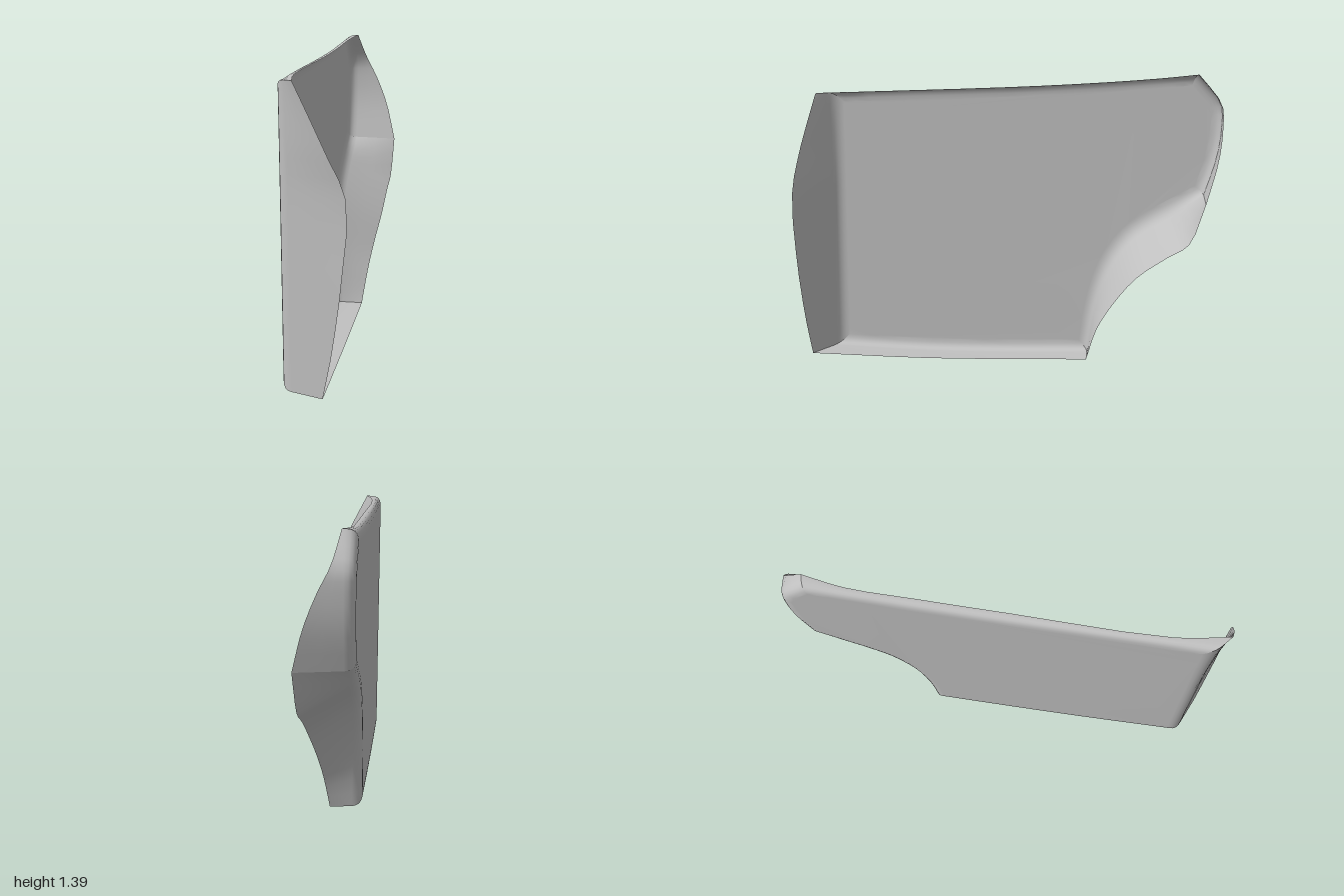
import * as THREE from 'three';

const FILLET = 5; // segments across the rounded edge
const RADIUS = 0.048;

// x of the flat panel, leaning slightly outward toward the top
const panelX = (y) => -0.136 - 0.014 * (y / 1.4);

// One station of the border: the panel corner and the tip of its flange
const station = (y, z, tipX, tipY, tipZ) => ({
  corner: new THREE.Vector3(panelX(y), y, z),
  tip: new THREE.Vector3(tipX, tipY, tipZ),
});

// Front flange: upright, bulging out most at mid height
const front = [
  [0.008, 0.05, 0.96], [0.2, 0.09, 0.978], [0.5, 0.133, 0.996], [0.83, 0.152, 1],
  [1, 0.075, 0.99], [1.15, 0, 0.968], [1.285, -0.07, 0.945],
].map(([y, x, z]) => station(y, 0.875, x, y, z));

// Rear flange: curves down from the top corner
const rear = [
  [1.393, -0.87, -0.085, 1.398, -0.885], [1.27, -0.982, -0.05, 1.27, -0.99], [1.17, -0.993, 0, 1.17, -1],
  [1.02, -0.975, 0.06, 1.02, -0.985], [0.84, -0.92, 0.11, 0.83, -0.935],
].map((r) => station(...r));

// Wheel arch flange: flares downward
const arch = [rear.at(-1), ...[
  [0.765, -0.79, 0.1, 0.64, -0.865], [0.7, -0.68, 0.092, 0.575, -0.77], [0.62, -0.575, 0.082, 0.47, -0.63],
  [0.47, -0.475, 0.055, 0.33, -0.52], [0.27, -0.415, 0.033, 0.2, -0.445], [0.045, -0.385, 0.01, 0.04, -0.395],
].map((r) => station(...r))];

// Narrow lip along the top and level flange along the bottom
const lip = [[1.293, 0.7], [1.325, 0], [1.35, -0.4], [1.375, -0.7]].map(([y, z]) => station(y, z, -0.11, y, z));
const floor = [[0.022, 0, 0.02], [0.008, 0.4, 0.03]].map(([y, z, x]) => station(y, z, x, y, z));

// The whole border, clockwise seen from +x
const sides = [
  { rows: front, steps: 14 },
  { rows: [front.at(-1), ...lip, rear[0]], steps: 15 },
  { rows: rear, steps: 10 },
  { rows: arch, steps: 18 },
  { rows: [arch.at(-1), ...floor, front[0]], steps: 9 },
];

// Smooth samples of one side
function sampleSide({ rows, steps }) {
  const corner = new THREE.CatmullRomCurve3(rows.map((r) => r.corner));
  const tip = new THREE.CatmullRomCurve3(rows.map((r) => r.tip));
  return Array.from({ length: steps + 1 }, (_, i) => ({
    corner: corner.getPoint(i / steps), tip: tip.getPoint(i / steps),
  }));
}

function shellGeometry() {
  const sampled = sides.map(sampleSide);
  const loop = sampled.flatMap((s) => s.slice(0, -1));
  const n = loop.length;
  const pos = [], index = [];
  const add = (p) => pos.push(p.x, p.y, p.z) / 3 - 1;

  // Inset the panel border to leave room for the rounded edge
  loop.forEach((s, i) => {
    const c = s.corner;
    const a = c.clone().sub(loop[(i + n - 1) % n].corner).setX(0).normalize();
    const b = loop[(i + 1) % n].corner.clone().sub(c).setX(0).normalize();
    const t = a.clone().add(b).normalize();
    const reach = RADIUS / Math.max(0.6, t.dot(a));
    s.inner = new THREE.Vector3(0, c.y + t.z * reach, c.z - t.y * reach);
    s.inner.x = panelX(s.inner.y);
    s.id = add(s.inner);
  });

  // Flat panel
  const flat = loop.map((s) => new THREE.Vector2(-s.inner.z, s.inner.y));
  for (const [a, b, c] of THREE.ShapeUtils.triangulateShape(flat, [])) {
    const turn = flat[b].clone().sub(flat[a]).cross(flat[c].clone().sub(flat[a]));
    if (turn > 0) index.push(a, b, c); else index.push(a, c, b);
  }

  // Rounded edge and flange, side by side so the corners stay crisp
  let start = 0;
  sampled.forEach((stations) => {
    const columns = stations.map(({ corner, tip }, i) => {
      const { inner, id } = loop[(start + i) % n];
      const out = tip.clone().sub(corner);
      const end = corner.clone().addScaledVector(out, Math.min(RADIUS / out.length(), 0.75));
      const curve = new THREE.QuadraticBezierCurve3(inner, corner, end);
      const ids = [id];
      for (let k = 1; k <= FILLET; k++) ids.push(add(curve.getPoint(k / FILLET)));
      ids.push(add(end.clone().lerp(tip, 0.5)), add(tip));
      return ids;
    });
    for (let i = 0; i + 1 < columns.length; i++) {
      const p = columns[i], q = columns[i + 1];
      for (let k = 0; k + 1 < p.length; k++) {
        index.push(p[k], q[k], p[k + 1], q[k], q[k + 1], p[k + 1]);
      }
    }
    start += stations.length - 1;
  });

  const geo = new THREE.BufferGeometry();
  geo.setAttribute('position', new THREE.Float32BufferAttribute(pos, 3));
  geo.setIndex(index);
  geo.computeVertexNormals();
  return geo;
}

export function createModel() {
  const grey = new THREE.MeshStandardMaterial({ color: 0xc0c0c0, side: THREE.DoubleSide });
  grey.name = 'light grey';
  const shell = new THREE.Mesh(shellGeometry(), grey);
  shell.name = 'doorPanelShell';
  const group = new THREE.Group();
  group.name = 'doorPanel';
  group.add(shell);
  return group;
}
